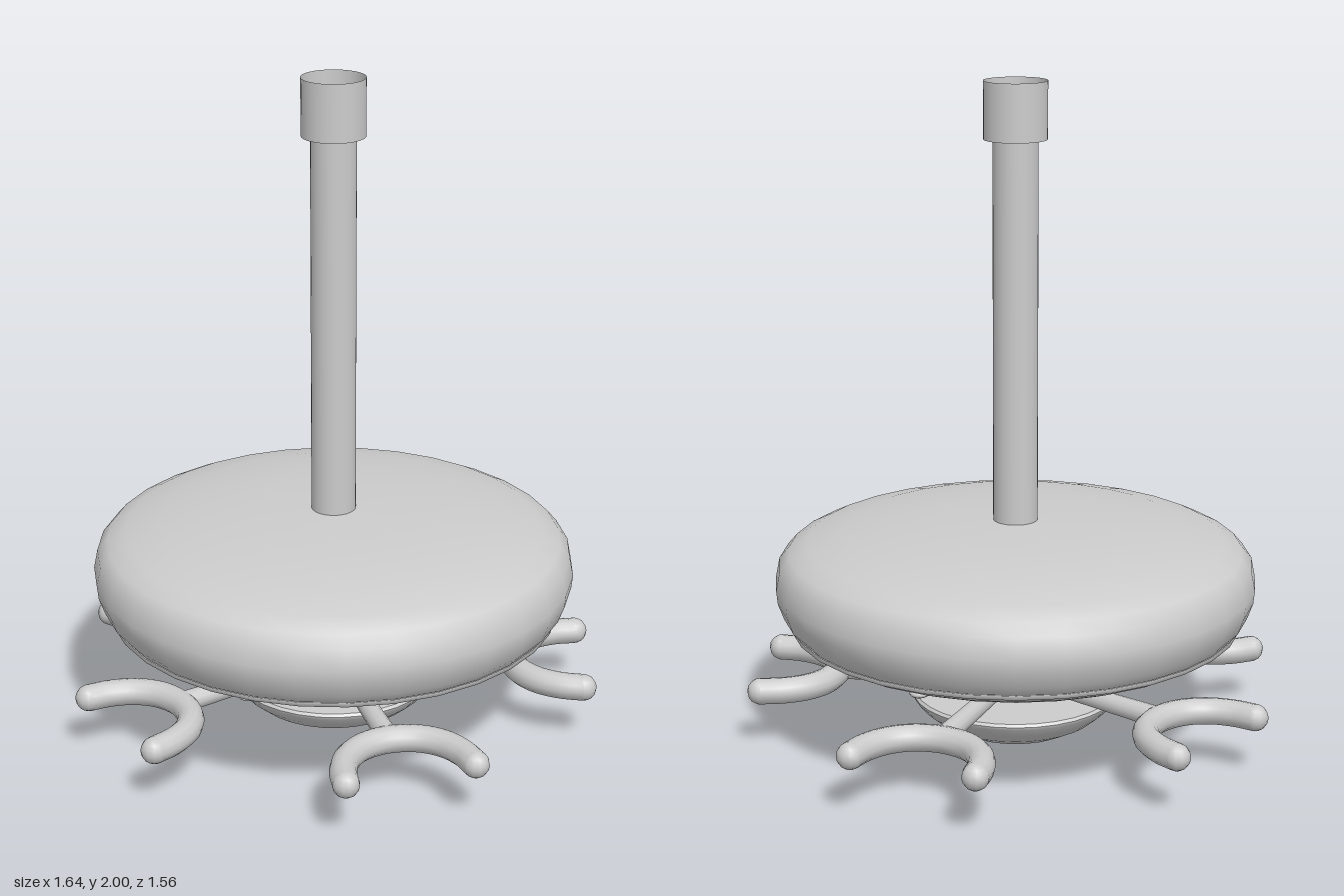
import * as THREE from 'three';

const material = new THREE.MeshStandardMaterial({ color: 0xcccccc, side: THREE.DoubleSide });

function add(parent, name, geometry, x = 0, y = 0, z = 0) {
  const mesh = new THREE.Mesh(geometry, material);
  mesh.name = name;
  mesh.position.set(x, y, z);
  parent.add(mesh);
  return mesh;
}

// Surface of revolution from [radius, height] pairs, listed bottom to top
function lathe(points, segments = 32) {
  return new THREE.LatheGeometry(points.map(([r, y]) => new THREE.Vector2(r, y)), segments);
}

// One arm with a crescent fork, pointing along +x
function createArm() {
  const arm = new THREE.Group();
  arm.name = 'forkArm';
  const y = 0.18, tube = 0.04;

  const side = [[0.757, 0.192], [0.69, 0.18], [0.62, 0.145], [0.57, 0.085]];
  const path = [...side, [0.55, 0], ...side.map(([x, z]) => [x, -z]).reverse()];
  const curve = new THREE.CatmullRomCurve3(path.map(([x, z]) => new THREE.Vector3(x, y, z)));
  add(arm, 'fork', new THREE.TubeGeometry(curve, 32, tube, 12));
  for (const s of [-1, 1]) {
    add(arm, 'forkTip', new THREE.SphereGeometry(tube, 12, 8), 0.757, y, s * 0.192);
  }

  // Rod from the hub to the fork, with a flat bracket above its inner end
  const rod = new THREE.CylinderGeometry(0.032, 0.026, 0.44, 12);
  rod.rotateZ(-Math.PI / 2);
  add(arm, 'rod', rod, 0.33, 0.185, 0);
  add(arm, 'bracket', new THREE.BoxGeometry(0.18, 0.02, 0.09), 0.18, 0.212, 0);
  return arm;
}

export function createModel() {
  const model = new THREE.Group();
  model.name = 'ceilingFixture';
  const fixture = new THREE.Group();
  fixture.name = 'fixture';
  fixture.position.z = 0.014;
  model.add(fixture);

  // Hanging rod and open ceiling cup
  add(fixture, 'pole', new THREE.CylinderGeometry(0.067, 0.067, 1.17, 32, 1, true), 0, 1.255, 0);
  add(fixture, 'ceilingCup', new THREE.CylinderGeometry(0.094, 0.094, 0.17, 32, 1, true), 0, 1.915, 0);
  add(fixture, 'cupBase', new THREE.RingGeometry(0.067, 0.094, 32).rotateX(Math.PI / 2), 0, 1.83, 0);

  // Rounded housing
  add(fixture, 'housing', lathe([
    [0.68, 0.38], [0.705, 0.41], [0.723, 0.46], [0.727, 0.5], [0.715, 0.56], [0.685, 0.595],
    [0.63, 0.622], [0.52, 0.65], [0.38, 0.668], [0.22, 0.68], [0, 0.684],
  ]));
  add(fixture, 'rim', lathe([[0.67, 0.364], [0.682, 0.367], [0.682, 0.38]]));
  add(fixture, 'lowerPan', lathe([
    [0, 0.22], [0.2, 0.22], [0.3, 0.238], [0.45, 0.278], [0.58, 0.32], [0.65, 0.35], [0.67, 0.364],
  ]));

  // Four small screws on the sloping underside
  for (let i = 0; i < 4; i++) {
    const a = i * Math.PI / 2 - 0.1;
    const screw = add(fixture, 'screw', new THREE.SphereGeometry(0.03, 12, 8),
      Math.cos(a) * 0.58, 0.324, -Math.sin(a) * 0.58);
    screw.scale.y = 0.45;
  }

  // Hub and bowl below the arms
  add(fixture, 'hub', new THREE.CylinderGeometry(0.11, 0.13, 0.08, 32), 0, 0.18, 0);
  add(fixture, 'bowl', lathe([
    [0.13, 0.01], [0.19, 0.032], [0.25, 0.064], [0.29, 0.098], [0.312, 0.125], [0.315, 0.135],
  ]));
  add(fixture, 'bowlTop', new THREE.CylinderGeometry(0.308, 0.315, 0.008, 32), 0, 0.139, 0);
  add(fixture, 'bowlBase', new THREE.CircleGeometry(0.13, 32).rotateX(Math.PI / 2), 0, 0.01, 0);
  add(fixture, 'finial', new THREE.CylinderGeometry(0.02, 0.015, 0.012, 12), 0, 0.006, 0);

  // Five evenly spaced arms, one pointing straight back
  for (let i = 0; i < 5; i++) {
    const arm = createArm();
    arm.rotation.y = Math.PI / 2 + i * Math.PI * 2 / 5;
    fixture.add(arm);
  }
  return model;
}
